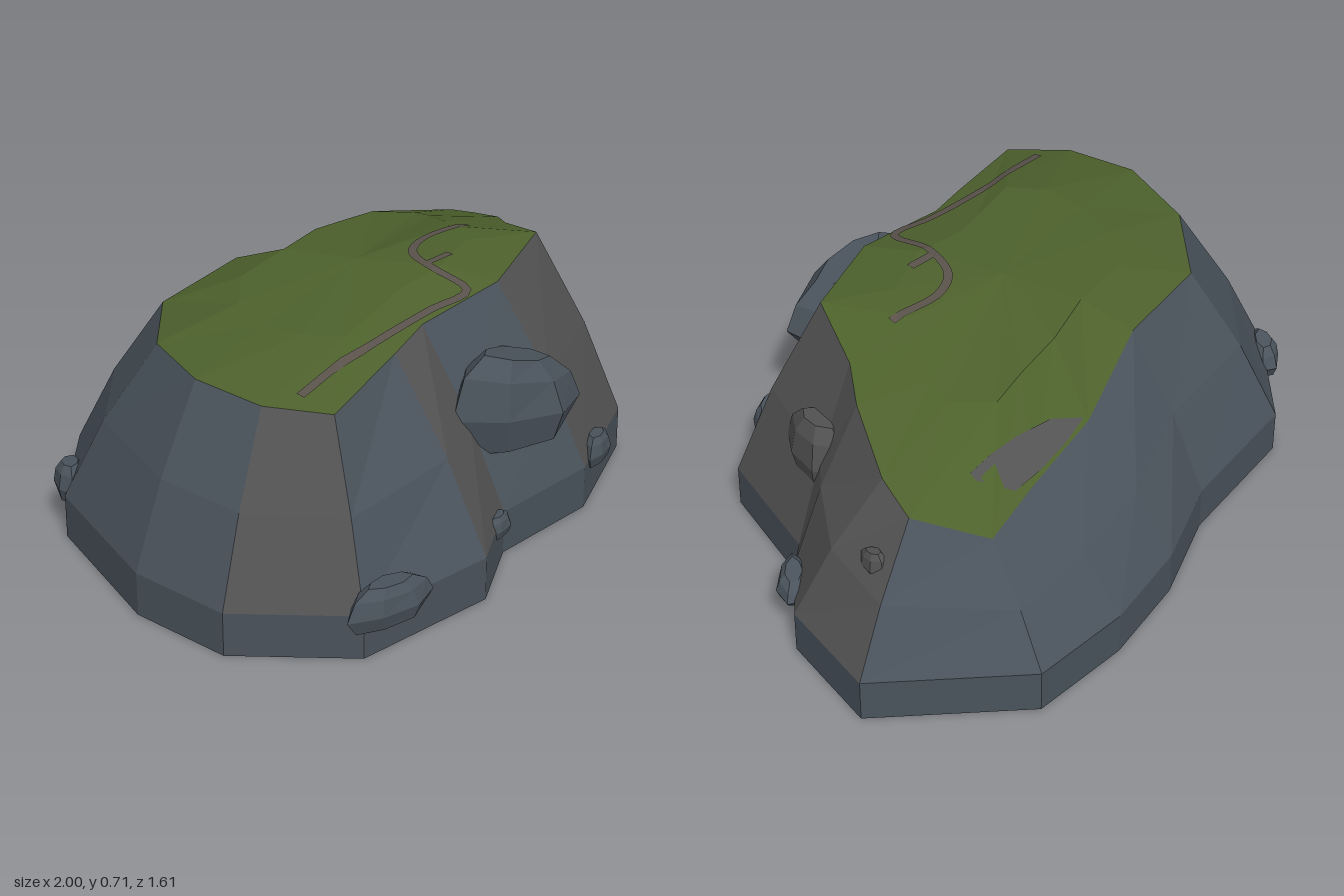
import * as THREE from 'three';

const mat = (color) => new THREE.MeshStandardMaterial({ color, flatShading: true, side: THREE.DoubleSide });
const blueStone = mat(0x4a535c), greyStone = mat(0x535353), grassMat = mat(0x4d612c), pathMat = mat(0x5a524b);

// Outline of the foot (x, z)
const FOOT = [
  [-0.64, -0.56], [-0.22, -0.63], [0.05, -0.75], [0.33, -0.81], [0.64, -0.81], [1, -0.49],
  [0.94, -0.17], [0.8, -0.02], [0.74, 0.03], [0.64, 0.4], [0.3, 0.58], [-0.05, 0.6],
  [-0.26, 0.74], [-0.7, 0.73], [-0.96, 0.47], [-1, 0.16], [-0.89, -0.3],
];
// Rim where the cliff meets the grass (x, y, z)
const RIM = [
  [-0.5, 0.6, -0.32], [-0.17, 0.61, -0.39], [0.12, 0.51, -0.49], [0.38, 0.46, -0.53],
  [0.58, 0.42, -0.57], [0.73, 0.49, -0.41], [0.7, 0.53, -0.28], [0.6, 0.61, -0.08],
  [0.52, 0.65, 0.03], [0.44, 0.71, 0.23], [0.15, 0.69, 0.36], [-0.15, 0.66, 0.37],
  [-0.3, 0.64, 0.42], [-0.6, 0.6, 0.51], [-0.72, 0.61, 0.36], [-0.76, 0.62, 0.14], [-0.69, 0.61, -0.11],
];
// Heights of the inner ring of the grass
const CROWN = [0.66, 0.67, 0.66, 0.64, 0.62, 0.62, 0.64, 0.68, 0.7, 0.71, 0.71, 0.69, 0.68, 0.67, 0.67, 0.66, 0.66];
// Cliff segments of plain grey stone
const GREY = new Set([5, 6, 7, 8, 9, 11, 13]);

function meshFrom(tris, material, name) {
  const geo = new THREE.BufferGeometry();
  geo.setAttribute('position', new THREE.Float32BufferAttribute(tris.flat(2), 3));
  geo.computeVertexNormals();
  const mesh = new THREE.Mesh(geo, material);
  mesh.name = name;
  return mesh;
}

// Triangles between two rings, optionally only for chosen segments
function band(low, high, keep = () => true) {
  const out = [];
  low.forEach((a, i) => {
    if (!keep(i)) return;
    const j = (i + 1) % low.length;
    out.push([a, high[i], low[j]], [low[j], high[i], high[j]]);
  });
  return out;
}

function fan(ring, centre, up) {
  return ring.map((p, i) => {
    const q = ring[(i + 1) % ring.length];
    return up ? [centre, q, p] : [centre, p, q];
  });
}

// Faceted rock with a flat bottom: centre, half sizes, height, turn, slope of its top
function rock(name, [x, y, z], rx, rz, h, turn, slope, material) {
  const levels = [[0, 0.8], [0.38, 1], [0.78, 0.82], [1, 0.5]];
  const rings = levels.map(([t, s]) => Array.from({ length: 7 }, (_, i) => {
    const a = (i / 7) * Math.PI * 2 + 0.3;
    const r = s * (1 + 0.1 * Math.sin(i * 2.4 + t));
    const px = Math.cos(a) * rx * r;
    return [px, t * h + px * slope * t, Math.sin(a) * rz * r];
  }));
  const tris = fan(rings[0], [0, 0, 0], false);
  for (let k = 0; k < 3; k++) tris.push(...band(rings[k], rings[k + 1]));
  tris.push(...fan(rings[3], [0, h, 0], true));
  const mesh = meshFrom(tris, material, name);
  mesh.position.set(x, y, z);
  mesh.rotation.y = turn;
  return mesh;
}

export function createModel() {
  const group = new THREE.Group();
  group.name = 'grassyRock';

  // Foot and underside
  const bottom = FOOT.map(([x, z]) => [x, 0, z]);
  const ledge = FOOT.map(([x, z]) => [x, 0.13, z]);
  group.add(meshFrom([...fan(bottom, [0, 0, 0], false), ...band(bottom, ledge)], blueStone, 'foot'));

  // Cliff, bulging slightly at mid height
  const middle = ledge.map((p, i) => [0, 1, 2].map((k) => p[k] + (RIM[i][k] - p[k]) * (k === 1 ? 0.5 : 0.43)));
  for (const grey of [false, true]) {
    const keep = (i) => GREY.has(i) === grey;
    const tris = [...band(ledge, middle, keep), ...band(middle, RIM, keep)];
    group.add(meshFrom(tris, grey ? greyStone : blueStone, grey ? 'greyCliff' : 'blueCliff'));
  }

  // Grass cap
  const centre = [-0.03, 0.69, -0.02];
  const inner = RIM.map((p, i) => [centre[0] + (p[0] - centre[0]) * 0.6, CROWN[i], centre[2] + (p[2] - centre[2]) * 0.6]);
  const grass = meshFrom([...band(RIM, inner), ...fan(inner, centre, true)], grassMat, 'grass');
  group.add(grass);

  // Height of the grass under a point
  const ray = new THREE.Raycaster();
  const drape = (x, z) => {
    ray.set(new THREE.Vector3(x, 2, z), new THREE.Vector3(0, -1, 0));
    const hit = ray.intersectObject(grass)[0];
    return [x, (hit ? hit.point.y : 0.5) + 0.004, z];
  };

  // Narrow trails laid on the grass
  const trails = [
    [[-0.62, 0.4], [-0.36, 0.36], [-0.1, 0.34], [0.05, 0.34], [0.05, 0.2], [0.09, 0.08], [0.18, 0.03], [0.35, 0.04]],
    [[0.06, 0.17], [0.15, 0.17]],
  ];
  trails.forEach((points) => {
    const curve = new THREE.CatmullRomCurve3(points.map(([x, z]) => new THREE.Vector3(x, 0, z)));
    const tris = [];
    let last = null;
    for (let i = 0; i <= 30; i++) {
      const p = curve.getPoint(i / 30), t = curve.getTangent(i / 30);
      const edge = [-0.013, 0.013].map((w) => drape(p.x - t.z * w, p.z + t.x * w));
      if (last) tris.push([last[0], last[1], edge[0]], [last[1], edge[1], edge[0]]);
      last = edge;
    }
    group.add(meshFrom(tris, pathMat, 'trail'));
  });

  // Bare stone patch at the back edge of the grass
  const spine = [[0.13, -0.48, -0.48], [0.22, -0.5, -0.44], [0.34, -0.515, -0.43], [0.44, -0.52, -0.43], [0.52, -0.45, -0.43]]
    .map(([x, far, near]) => [drape(x, near), drape(x, far)]);
  const patch = [];
  for (let i = 0; i < spine.length - 1; i++) {
    const [a, b] = spine[i], [c, d] = spine[i + 1];
    patch.push([a, c, b], [b, c, d]);
  }
  group.add(meshFrom(patch, greyStone, 'barePatch'));

  // Boulders set into the cliff
  group.add(
    rock('largeBoulder', [0.08, 0.29, 0.5], 0.22, 0.12, 0.25, -0.08, -0.3, blueStone),
    rock('sideBoulder', [0.6, 0.285, 0.07], 0.13, 0.08, 0.2, 1.5, 0.1, greyStone),
    rock('smallBoulder', [0.815, 0.32, -0.36], 0.05, 0.03, 0.08, 1.5, 0.2, greyStone),
  );

  // Low stones around the foot
  const stones = [
    [-0.62, 0.74, 0.145, 0.06, 0.11, 0], [-0.11, 0.63, 0.065, 0.035, 0.06, 0.4],
    [0.41, 0.52, 0.085, 0.04, 0.08, 0.5], [0.85, -0.07, 0.09, 0.05, 0.07, 0.8],
    [-0.83, -0.35, 0.08, 0.05, 0.1, 0.9],
  ];
  stones.forEach(([x, z, rx, rz, h, turn]) =>
    group.add(rock('footStone', [x, 0.1, z], rx, rz, h, turn, -0.1, blueStone)));

  return group;
}
